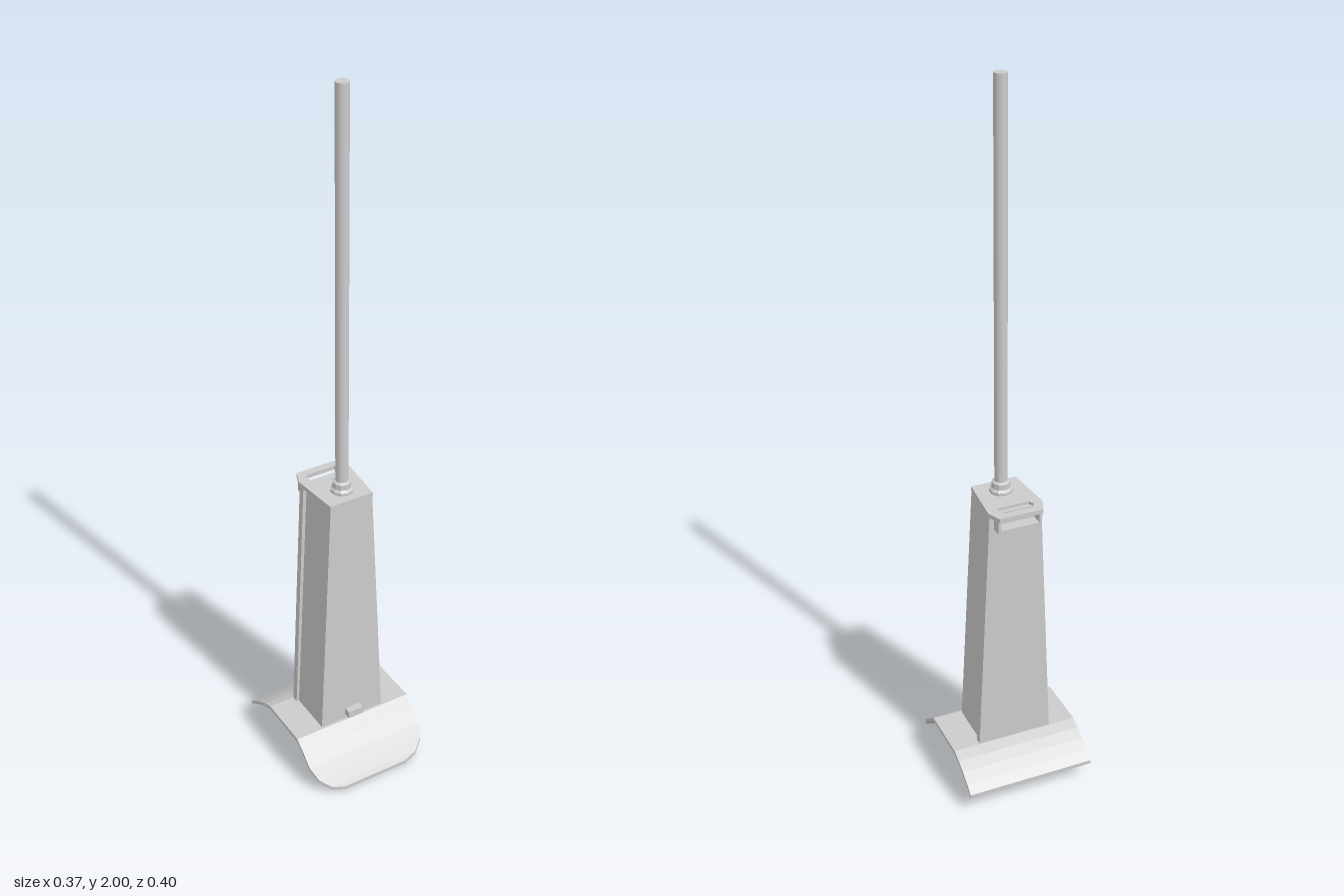
import * as THREE from 'three';

const mat = new THREE.MeshStandardMaterial({ color: 0xcccccc, flatShading: true, side: THREE.DoubleSide });
const smooth = new THREE.MeshStandardMaterial({ color: 0xcccccc });

export function createModel() {
  const group = new THREE.Group();
  const add = (name, geometry, x = 0, y = 0, z = 0, material = mat) => {
    const mesh = new THREE.Mesh(geometry, material);
    mesh.name = name;
    mesh.position.set(x, y, z);
    group.add(mesh);
    return mesh;
  };
  const box = (name, w, h, d, x, y, z) => add(name, new THREE.BoxGeometry(w, h, d), x, y, z);

  // Box whose width and front/back edges change linearly from bottom to top
  const taperedBox = (b, t) => {
    const g = new THREE.BoxGeometry(2, 1, 1);
    const p = g.attributes.position;
    for (let i = 0; i < p.count; i++) {
      const s = p.getY(i) > 0 ? t : b;
      p.setXYZ(i, Math.sign(p.getX(i)) * s.w, s.y, p.getZ(i) > 0 ? s.front : s.back);
    }
    g.computeVertexNormals();
    return g;
  };

  // Flat outline in x and z, extruded upwards from y = 0
  const slab = (outline, hole, height) => {
    const pts = (a) => a.map(([x, z]) => new THREE.Vector2(x, -z));
    const shape = new THREE.Shape(pts(outline));
    shape.holes.push(new THREE.Path(pts(hole)));
    return new THREE.ExtrudeGeometry(shape, { depth: height, bevelEnabled: false }).rotateX(-Math.PI / 2);
  };
  const mirrored = (half) => [...half, ...half.map(([x, z]) => [-x, z]).reverse()];

  // Tapered housing with a slightly wider rim along its back
  add('housing', taperedBox(
    { y: 0.118, w: 0.1, front: 0.068, back: -0.066 },
    { y: 0.872, w: 0.064, front: 0.061, back: -0.066 }));
  add('backRim', taperedBox(
    { y: 0.118, w: 0.108, front: -0.064, back: -0.083 },
    { y: 0.872, w: 0.074, front: -0.064, back: -0.083 }));

  // Hollow socket under the flap
  add('socket', slab(
    mirrored([[0.102, 0.072], [0.102, -0.08]]),
    mirrored([[0.078, 0.048], [0.078, -0.056]]), 0.085), 0, 0.04, 0);

  // Top plate with a slot
  add('topPlate', slab(
    mirrored([[0.065, 0.062], [0.078, -0.083], [0.062, -0.122]]),
    mirrored([[0.044, -0.07], [0.051, -0.085], [0.042, -0.1]]), 0.012), 0, 0.868, 0);

  // Open catch behind the housing
  box('catchFloor', 0.124, 0.01, 0.036, 0, 0.833, -0.097);
  for (const side of [-1, 1]) box('catchSide', 0.008, 0.04, 0.036, side * 0.058, 0.848, -0.097);

  // Small clip at the front
  box('frontClip', 0.046, 0.022, 0.032, 0.001, 0.155, 0.073);

  // Pole and its collar
  const collar = [[0, 0], [0.031, 0], [0.031, 0.01], [0.025, 0.016], [0.025, 0.032], [0.018, 0.036], [0, 0.036]];
  add('collar', new THREE.LatheGeometry(collar.map(([r, y]) => new THREE.Vector2(r, y)), 10), 0.001, 0.878, 0.01);
  add('pole', new THREE.CylinderGeometry(0.0175, 0.0175, 1.115, 20), 0.001, 1.4425, 0.01, smooth);

  // Curved flap: cross-sections of z, top height and half width
  const sections = [
    [-0.2, 0.062, 0.184], [-0.175, 0.081, 0.184], [-0.145, 0.101, 0.184], [-0.115, 0.118, 0.184],
    [-0.085, 0.13, 0.184], [0.075, 0.13, 0.184], [0.11, 0.104, 0.184], [0.143, 0.075, 0.184],
    [0.171, 0.045, 0.17], [0.192, 0.021, 0.14], [0.2, 0.011, 0.1],
  ];
  const pos = [], idx = [];
  sections.forEach(([z, y, w], i) => {
    const low = y - 0.011;
    pos.push(-w, y, z, w, y, z, w, low, z, -w, low, z);
    if (!i) return;
    for (let k = 0; k < 4; k++) {
      const a = (i - 1) * 4 + k, b = (i - 1) * 4 + (k + 1) % 4;
      idx.push(a, a + 4, b, b, a + 4, b + 4);
    }
  });
  const e = (sections.length - 1) * 4;
  idx.push(0, 1, 2, 0, 2, 3, e, e + 2, e + 1, e, e + 3, e + 2);
  const flap = new THREE.BufferGeometry();
  flap.setAttribute('position', new THREE.Float32BufferAttribute(pos, 3));
  flap.setIndex(idx);
  const flat = flap.toNonIndexed();
  flat.computeVertexNormals();
  add('flap', flat);

  return group;
}
